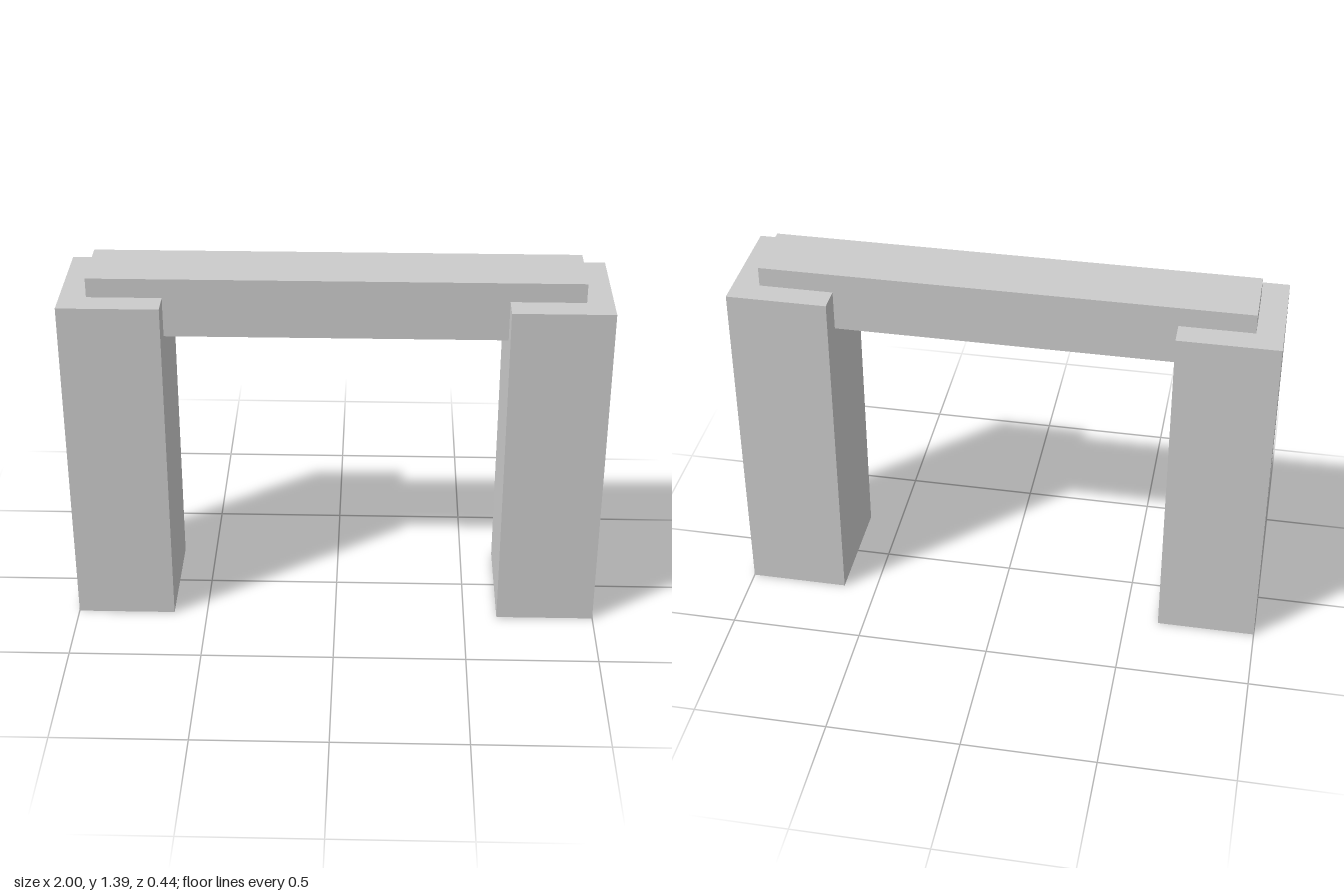
import * as THREE from 'three';

export function createModel() {
  const model = new THREE.Group();
  model.name = 'postAndLintelGate';
  const material = new THREE.MeshStandardMaterial({ color: 0xcccccc, flatShading: true });

  // Adds a block standing on height y, centred on x and z = 0
  function addBlock(name, width, height, depth, x, y) {
    const mesh = new THREE.Mesh(new THREE.BoxGeometry(width, height, depth), material);
    mesh.name = name;
    mesh.position.set(x, y + height / 2, 0);
    model.add(mesh);
  }

  // Two upright posts
  const postWidth = 0.372;
  for (const side of [-1, 1]) {
    addBlock(side > 0 ? 'leftPost' : 'rightPost', postWidth, 1.313, 0.444, side * (1 - postWidth / 2), 0);
  }

  // Crossbeam let into the tops of the posts
  addBlock('crossbeam', 1.804, 0.228, 0.253, 0, 1.159);

  return model;
}
